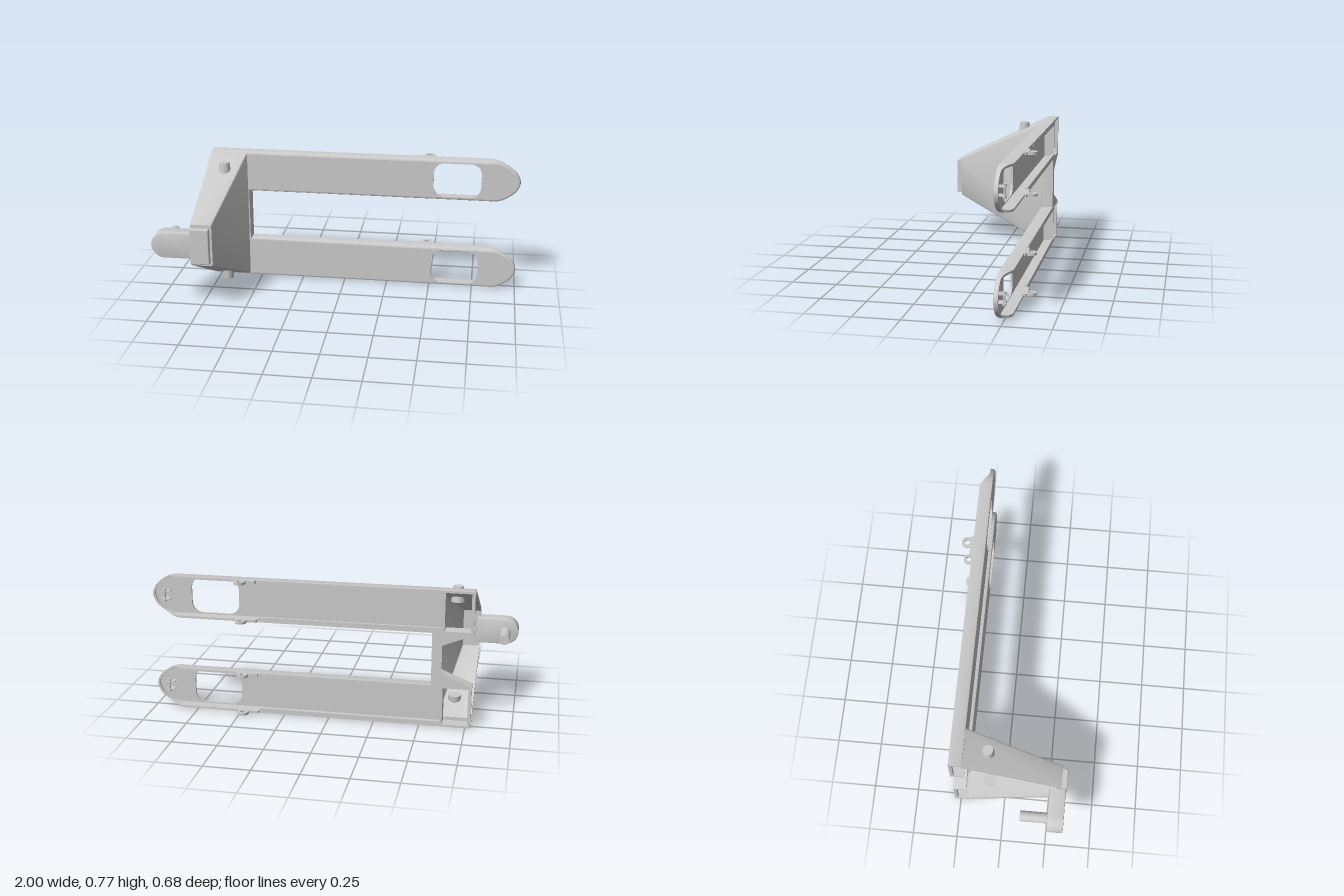
import * as THREE from 'three';
import { toCreasedNormals } from 'three/addons/utils/BufferGeometryUtils.js';
import { RoundedBoxGeometry } from 'three/addons/geometries/RoundedBoxGeometry.js';

const FRONT = -0.21, BACK = -0.283, END = -0.78, T = 0.012;
const FORK_Y = [0.12, 0.652];   // centre heights of the two forks
const HALF = 0.1175;            // half width of a fork

const grey = new THREE.MeshStandardMaterial({ color: 0xcccccc, side: THREE.DoubleSide });

function add(parent, name, geometry, x = 0, y = 0, z = 0) {
  const mesh = new THREE.Mesh(geometry, grey);
  mesh.name = name;
  mesh.position.set(x, y, z);
  parent.add(mesh);
  return mesh;
}

// box given by its corner limits
function block(parent, name, x0, x1, y0, y1, z0, z1) {
  return add(parent, name, new THREE.BoxGeometry(x1 - x0, y1 - y0, z1 - z0),
    (x0 + x1) / 2, (y0 + y1) / 2, (z0 + z1) / 2);
}

// skin over a row of closed rings, capped at both ends; flat is one ring in 2D
function loft(rings, flat) {
  const pos = [];
  const tri = (...pts) => pts.forEach((p) => pos.push(p.x, p.y, p.z));
  const n = flat.length;
  for (let k = 0; k < rings.length - 1; k++) {
    const a = rings[k], b = rings[k + 1];
    for (let i = 0; i < n; i++) {
      const j = (i + 1) % n;
      tri(a[i], a[j], b[j]);
      tri(a[i], b[j], b[i]);
    }
  }
  const last = rings[rings.length - 1];
  for (const [i, j, k] of THREE.ShapeUtils.triangulateShape(flat, [])) {
    tri(rings[0][i], rings[0][k], rings[0][j]);
    tri(last[i], last[j], last[k]);
  }
  const g = new THREE.BufferGeometry();
  g.setAttribute('position', new THREE.Float32BufferAttribute(pos, 3));
  return toCreasedNormals(g, 0.6);
}

// U-shaped outline of both forks and the crossbar, running anticlockwise
function chassisOutline() {
  const v = (x, y) => new THREE.Vector2(x, y);
  const half = [[0.83, 1], [0.87, 0.995], [0.91, 0.89], [0.955, 0.65], [0.985, 0.38]];
  const pts = [];
  FORK_Y.forEach((cy, i) => {
    const nose = new THREE.SplineCurve([
      ...half.map(([x, h]) => v(x, cy - h * HALF)),
      v(1, cy),
      ...half.map(([x, h]) => v(x, cy + h * HALF)).reverse(),
    ]).getPoints(40);
    pts.push(v(i ? -0.56 : END, cy - HALF), ...nose, v(i ? END : -0.56, cy + HALF));
  });
  return pts;
}

// mitred inward direction at each outline point
function inwardNormals(pts) {
  const left = (a, b) => new THREE.Vector2(a.y - b.y, b.x - a.x).normalize();
  return pts.map((p, i) => {
    const a = i > 0 ? left(pts[i - 1], p) : left(p, pts[1]);
    const b = i < pts.length - 1 ? left(p, pts[i + 1]) : a;
    const m = a.clone().add(b).normalize();
    return m.divideScalar(Math.max(0.5, m.dot(a)));
  });
}

// rear edge of the skirt, rising toward the fork nose
const skirtBack = (x) => BACK + 0.048 * THREE.MathUtils.smoothstep(x, 0.82, 0.935);

function buildChassis(group) {
  const pts = chassisOutline(), normals = inwardNormals(pts);
  // skirt: rounded front edge, outer wall, rear edge, inner wall
  const section = (zb) => [[T, FRONT], [0.004, FRONT - 0.003], [0, FRONT - T], [0, zb], [T, zb], [T, FRONT - T]];
  const rings = pts.map((p, i) => section(skirtBack(p.x)).map(([s, z]) =>
    new THREE.Vector3(p.x + normals[i].x * s, p.y + normals[i].y * s, z)));
  add(group, 'chassisSkirt', loft(rings, section(BACK).map(([s, z]) => new THREE.Vector2(s, z))));

  // load plate with a roller window in each fork
  const inset = pts.map((p, i) => p.clone().addScaledVector(normals[i], T));
  inset[0].x = inset[inset.length - 1].x = -0.61;
  const plate = new THREE.Shape(inset);
  for (const cy of FORK_Y) {
    const x0 = 0.51, x1 = 0.78, y0 = cy - 0.1, y1 = cy + 0.1, r = 0.06;
    const hole = new THREE.Path();
    hole.absarc(x1 - r, y1 - r, r, Math.PI / 2, 0, true);
    hole.absarc(x1 - r, y0 + r, r, 0, -Math.PI / 2, true);
    hole.absarc(x0 + r, y0 + r, r, -Math.PI / 2, -Math.PI, true);
    hole.absarc(x0 + r, y1 - r, r, Math.PI, Math.PI / 2, true);
    hole.closePath();
    plate.holes.push(hole);
  }
  const g = new THREE.ExtrudeGeometry(plate, { depth: T, bevelEnabled: false, curveSegments: 8 });
  add(group, 'loadPlate', toCreasedNormals(g, 0.6), 0, 0, FRONT - T);
}

// pierced lug for the roller linkage, standing behind the fork
function lugGeometry() {
  const s = new THREE.Shape();
  s.moveTo(0.39, 0.262);
  s.lineTo(0.52, 0.262);
  s.lineTo(0.52, 0.292);
  s.lineTo(0.51, 0.296);
  s.absarc(0.48, 0.314, 0.03, 0, Math.PI, false);
  s.lineTo(0.45, 0.296);
  s.lineTo(0.4, 0.296);
  s.closePath();
  const eye = new THREE.Path();
  eye.absarc(0.48, 0.314, 0.015, 0, Math.PI * 2, true);
  s.holes.push(eye);
  const g = new THREE.ExtrudeGeometry(s, { depth: 0.014, bevelEnabled: false, curveSegments: 16 });
  g.rotateX(-Math.PI / 2);
  return toCreasedNormals(g, 0.6);
}

function buildForkFittings(group) {
  const lug = lugGeometry();
  FORK_Y.forEach((cy, i) => {
    const fork = new THREE.Group();
    fork.name = i ? 'upperForkFittings' : 'lowerForkFittings';
    fork.position.y = cy;
    group.add(fork);
    for (const s of [-1, 1]) {
      add(fork, 'linkageLug', lug, 0, s * (HALF - 0.008) - 0.007, 0);
      // folded lip along the rear edge
      const yl = s * (HALF - T - 0.008);
      block(fork, 'rearLip', -0.61, 0.39, yl - 0.008, yl + 0.008, BACK, BACK + 0.015);
      // nose roller bracket and nut
      block(fork, 'noseBracket', 0.895, 0.945, s * 0.022 - 0.002, s * 0.022 + 0.002, -0.262, FRONT - T);
      add(fork, 'axleNut', new THREE.CylinderGeometry(0.011, 0.011, 0.009, 12), 0.925, s * 0.031, -0.254);
    }
    add(fork, 'noseAxle', new THREE.CylinderGeometry(0.006, 0.006, 0.072, 12), 0.925, 0, -0.254);
    // cross rib and open end frame under the tower
    block(fork, 'crossRib', -0.625, -0.61, -HALF + 0.005, HALF - 0.005, BACK, FRONT);
    block(fork, 'endPost', END, END + 0.018, -HALF, HALF, BACK, BACK + 0.018);
    const inner = (i ? -1 : 1) * (HALF - T / 2);
    block(fork, 'innerWall', END, -0.57, inner - T / 2, inner + T / 2, BACK, FRONT);
    // corner gusset between fork and crossbar
    const d = i ? -1 : 1;
    const tri = new THREE.Shape([[END, 0], [-0.6, 0], [-0.6, d * 0.075]].map((p) => new THREE.Vector2(...p)));
    add(fork, 'gusset', new THREE.ExtrudeGeometry(tri, { depth: 0.07, bevelEnabled: false }), 0, d * HALF, BACK);
  });
  // rear flange of the crossbar
  block(group, 'crossbarFlange', -0.615, -0.565, FORK_Y[0] + HALF, FORK_Y[1] - HALF, BACK, BACK + T);
}

// hollow tapering tower, open at its end and behind
function buildTower(group) {
  const wall = (x1, y0, y1, c) => [[END, y0], [x1 - c, y0], [x1 - c * 0.3, y0 + c * 0.3], [x1, y0 + c],
    [x1, y1 - c], [x1 - c * 0.3, y1 - c * 0.3], [x1 - c, y1], [END, y1]];
  const ring = (z, x1, y0, y1) => {
    const t = 0.026;
    return [...wall(x1, y0, y1, 0.014), ...wall(x1 - t, y0 + t, y1 - t, 0.006).reverse()]
      .map(([x, y]) => new THREE.Vector3(x, y, z));
  };
  const rings = [ring(FRONT - 0.004, -0.57, 0.008, 0.764), ring(0.31, -0.662, 0.268, 0.508)];
  add(group, 'tower', loft(rings, rings[0].map((p) => new THREE.Vector2(p.x, p.y))));
  block(group, 'towerCap', END, -0.672, 0.28, 0.496, 0.285, 0.309);

  // tapered studs on the sloping sides
  for (const s of [-1, 1]) {
    const stud = add(group, 'sideStud', new THREE.CylinderGeometry(0.028, 0.038, 0.085, 24), -0.675, 0.388 + s * 0.3135, -0.088);
    if (s < 0) stud.rotation.x = Math.PI;
  }
}

// drawbar mount with a rounded tongue and peg
function buildMount(group) {
  const cy = 0.388, r = 0.073;
  add(group, 'mountPlate', new RoundedBoxGeometry(0.106, 0.206, 0.032, 3, 0.006), -0.727, cy, 0.324);
  const s = new THREE.Shape();
  s.moveTo(-0.765, cy - r);
  s.lineTo(-0.765, cy + r);
  s.absarc(-1 + r, cy + r - r, r, Math.PI / 2, Math.PI * 1.5, false);
  s.closePath();
  const g = new THREE.ExtrudeGeometry(s, {
    depth: 0.078, bevelEnabled: true, bevelSize: 0.005, bevelOffset: -0.005,
    bevelThickness: 0.005, bevelSegments: 2, curveSegments: 24,
  });
  add(group, 'mountTongue', toCreasedNormals(g, 0.6), 0, 0, 0.252);
  const peg = add(group, 'mountPeg', new THREE.CylinderGeometry(0.029, 0.029, 0.16, 24), -0.927, cy, 0.18);
  peg.rotation.x = Math.PI / 2;
}

export function createModel() {
  const group = new THREE.Group();
  group.name = 'palletTruckChassis';
  buildChassis(group);
  buildForkFittings(group);
  buildTower(group);
  buildMount(group);
  return group;
}
